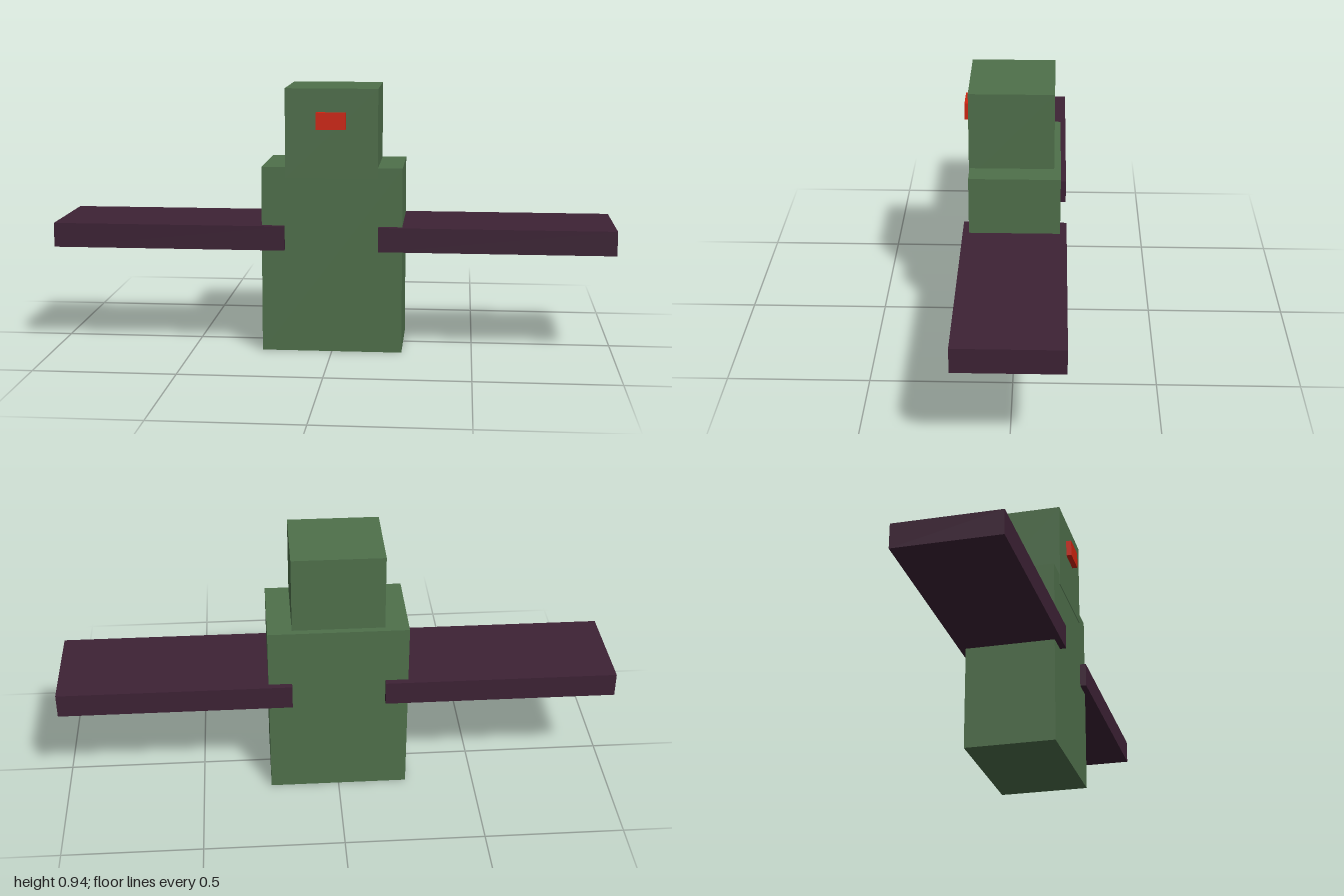
import * as THREE from 'three';

export function createModel() {
  const model = new THREE.Group();
  const material = (name, color) => {
    const m = new THREE.MeshStandardMaterial({ color });
    m.name = name;
    return m;
  };
  const green = material('mossGreen', 0x4f704b);
  const plum = material('darkPlum', 0x3d2235);
  const red = material('beakRed', 0xd02410);

  // Box given by its lower and upper corners
  const block = (name, mat, [x0, y0, z0], [x1, y1, z1]) => {
    const mesh = new THREE.Mesh(new THREE.BoxGeometry(x1 - x0, y1 - y0, z1 - z0), mat);
    mesh.position.set((x0 + x1) / 2, (y0 + y1) / 2, (z0 + z1) / 2);
    mesh.name = name;
    model.add(mesh);
  };

  block('body', green, [-0.25, 0, -0.159], [0.25, 0.666, 0.16]);
  // Head sits slightly proud of the chest and sinks into the body
  block('head', green, [-0.165, 0.627, -0.136], [0.163, 0.945, 0.162]);
  block('beak', red, [-0.054, 0.802, 0.14], [0.05, 0.862, 0.181]);

  // Flat outstretched wings, slightly deeper than the body
  block('leftWing', plum, [0.166, 0.37, -0.182], [1, 0.457, 0.182]);
  block('rightWing', plum, [-1, 0.37, -0.182], [-0.168, 0.457, 0.182]);

  return model;
}
